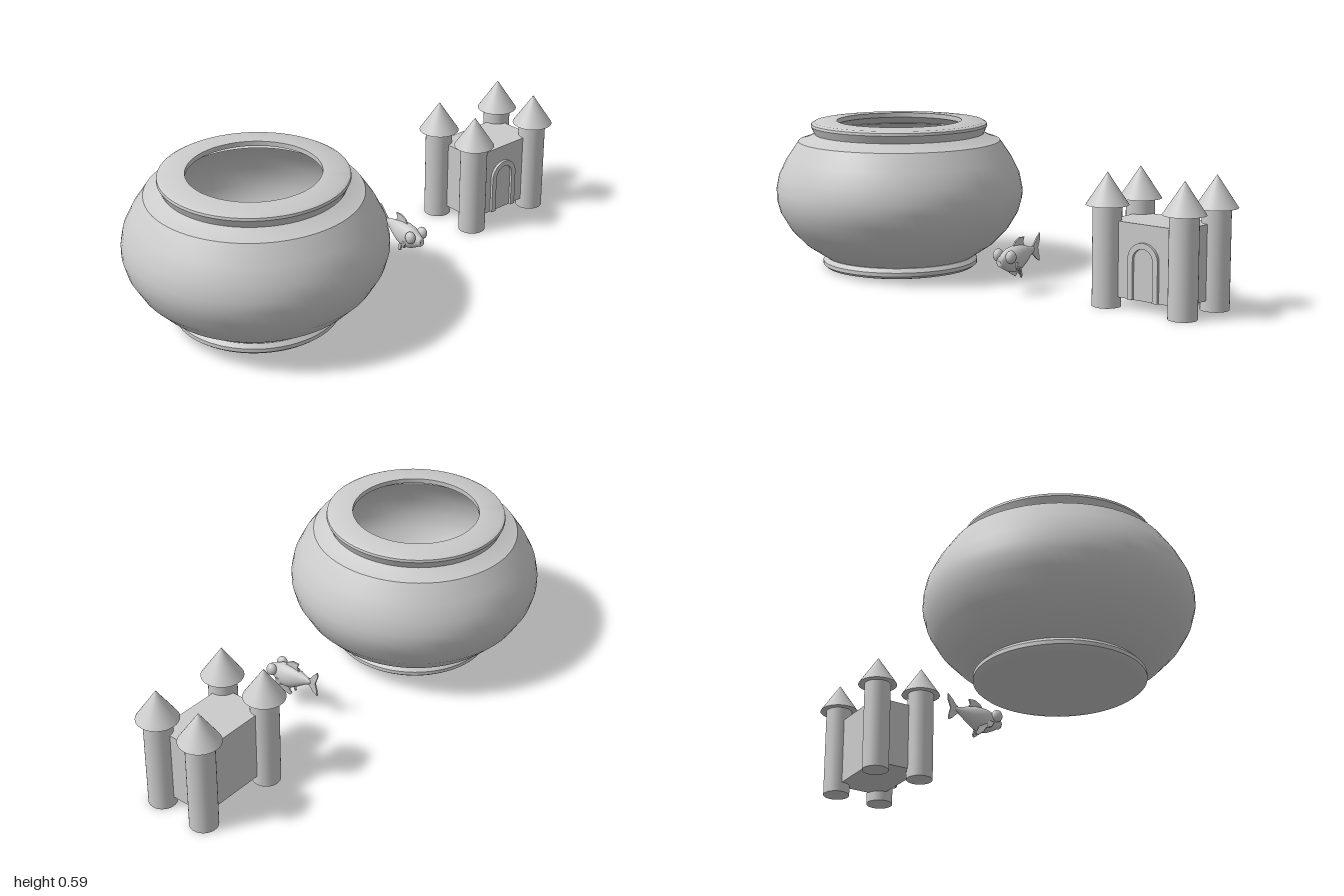
import * as THREE from 'three';
import { toCreasedNormals } from 'three/addons/utils/BufferGeometryUtils.js';

const material = new THREE.MeshStandardMaterial({ color: 0xcccccc, side: THREE.DoubleSide });

function add(parent, name, geometry, x = 0, y = 0, z = 0) {
  const mesh = new THREE.Mesh(geometry, material);
  mesh.name = name;
  mesh.position.set(x, y, z);
  parent.add(mesh);
  return mesh;
}

const vectors = (pairs) => pairs.map(([x, y]) => new THREE.Vector2(x, y));

function lathe(pairs, segments = 64, crease = 0.55) {
  return toCreasedNormals(new THREE.LatheGeometry(vectors(pairs), segments), crease);
}

// Thin fin: smooth closed outline extruded about its own middle plane
function fin(pairs, thickness = 0.006) {
  const geometry = new THREE.ExtrudeGeometry(new THREE.Shape(vectors(pairs)), {
    depth: thickness, bevelEnabled: false });
  return geometry.translate(0, 0, -thickness / 2);
}

function createBowl() {
  const bowl = new THREE.Group();
  bowl.name = 'bowl';
  add(bowl, 'bowlFoot', lathe([
    [0, 0], [0.28, 0], [0.3, 0.005], [0.312, 0.015], [0.312, 0.03], [0.298, 0.045], [0.27, 0.05]]));
  add(bowl, 'bowlOuterWall', lathe([
    [0.27, 0.04], [0.3, 0.047], [0.38, 0.1], [0.44, 0.162], [0.48, 0.23], [0.495, 0.285],
    [0.495, 0.325], [0.484, 0.38], [0.452, 0.445], [0.405, 0.514], [0.375, 0.524], [0.34, 0.542]]));
  add(bowl, 'bowlRim', lathe([
    [0.3, 0.542], [0.34, 0.542], [0.354, 0.573], [0.352, 0.583], [0.34, 0.59], [0.25, 0.594],
    [0.25, 0.575]]));
  add(bowl, 'bowlInnerWall', lathe([
    [0.25, 0.575], [0.33, 0.54], [0.39, 0.5], [0.435, 0.44], [0.465, 0.375], [0.475, 0.3],
    [0.46, 0.235], [0.42, 0.17], [0.365, 0.112], [0.28, 0.06], [0, 0.05]]));
  bowl.position.set(-0.505, 0, 0);
  return bowl;
}

function archPath(path, halfWidth, base, spring) {
  path.moveTo(-halfWidth, base);
  path.lineTo(halfWidth, base);
  path.lineTo(halfWidth, spring);
  path.absarc(0, spring, halfWidth, 0, Math.PI, false);
  path.lineTo(-halfWidth, base);
  return path;
}

function createCastle() {
  const castle = new THREE.Group();
  castle.name = 'castle';
  add(castle, 'castleKeep', new THREE.BoxGeometry(0.33, 0.28, 0.21), 0, 0.18, 0);

  // Four round towers with pointed roofs
  for (const x of [-0.168, 0.168]) {
    for (const z of [-0.102, 0.102]) {
      const tower = new THREE.Group();
      tower.name = 'tower';
      tower.position.set(x, 0, z);
      add(tower, 'towerShaft', new THREE.CylinderGeometry(0.054, 0.054, 0.375, 32), 0, 0.1875, 0);
      add(tower, 'towerRoof', new THREE.ConeGeometry(0.08, 0.12, 32), 0, 0.435, 0);
      castle.add(tower);
    }
  }

  // Raised arch around the doorway
  const frame = new THREE.Shape();
  frame.moveTo(-0.066, 0.04);
  frame.lineTo(-0.044, 0.04);
  frame.lineTo(-0.044, 0.188);
  frame.absarc(0, 0.188, 0.044, Math.PI, 0, true);
  frame.lineTo(0.044, 0.04);
  frame.lineTo(0.066, 0.04);
  frame.lineTo(0.066, 0.188);
  frame.absarc(0, 0.188, 0.066, 0, Math.PI, false);
  const options = { bevelEnabled: false, curveSegments: 20 };
  add(castle, 'doorFrame', new THREE.ExtrudeGeometry(frame, { ...options, depth: 0.018 }), 0, 0, 0.098);
  add(castle, 'door', new THREE.ExtrudeGeometry(
    archPath(new THREE.Shape(), 0.044, 0.04, 0.188), { ...options, depth: 0.006 }), 0, 0, 0.1);
  castle.position.set(0.745, 0, -0.054);
  return castle;
}

function createFish() {
  const fish = new THREE.Group();
  fish.name = 'fish';

  // Body: round profile along z, narrowed sideways and lifted toward the tail
  const profile = vectors([[0, -0.03], [0.01, -0.025], [0.019, 0], [0.034, 0.03], [0.046, 0.06],
    [0.051, 0.09], [0.046, 0.12], [0.034, 0.145], [0.023, 0.163], [0.02, 0.173], [0.014, 0.18], [0, 0.172]]);
  const body = new THREE.LatheGeometry(profile, 24).rotateX(Math.PI / 2).scale(0.75, 1, 1);
  const p = body.attributes.position;
  for (let i = 0; i < p.count; i++) {
    const lift = Math.max(0, 0.08 - p.getZ(i)) * 0.2;
    p.setY(i, p.getY(i) + 0.127 + lift);
  }
  body.computeVertexNormals();
  add(fish, 'fishBody', body);

  // Fins on the middle plane, drawn as z against y
  const middleFins = {
    tailFin: [[-0.005, 0.15], [-0.025, 0.165], [-0.045, 0.19], [-0.062, 0.207], [-0.063, 0.185],
      [-0.05, 0.15], [-0.058, 0.12], [-0.06, 0.098], [-0.042, 0.108], [-0.02, 0.13], [-0.005, 0.142]],
    dorsalFin: [[0.1, 0.17], [0.085, 0.192], [0.06, 0.205], [0.032, 0.204], [0.04, 0.185], [0.02, 0.155]],
  };
  for (const [name, outline] of Object.entries(middleFins)) {
    add(fish, name, fin(outline)).rotation.y = -Math.PI / 2;
  }

  // Paired eyes and side fins
  for (const side of [-1, 1]) {
    const eye = add(fish, 'eye', new THREE.SphereGeometry(0.025, 16, 12), side * 0.031, 0.146, 0.145);
    eye.scale.set(0.75, 1, 0.9);
    const pectoral = add(fish, 'pectoralFin', fin(
      [[0.02, 0.012], [-0.015, 0.014], [-0.05, 0.002], [-0.045, -0.025], [-0.02, -0.025], [0.015, -0.01]]),
      side * 0.032, 0.105, 0.105);
    pectoral.rotation.set(0, -Math.PI / 2 + side * 0.45, side * 0.3);
    const pelvic = add(fish, 'pelvicFin', fin(
      [[0.02, 0.01], [-0.01, 0.012], [-0.03, -0.025], [-0.022, -0.034], [0, -0.02]]),
      side * 0.026, 0.088, 0.085);
    pelvic.rotation.set(0, -Math.PI / 2 + side * 0.5, 0);
  }
  fish.position.x = 0.172;
  return fish;
}

export function createModel() {
  const model = new THREE.Group();
  model.name = 'fishbowlSet';
  model.add(createBowl(), createFish(), createCastle());
  return model;
}
